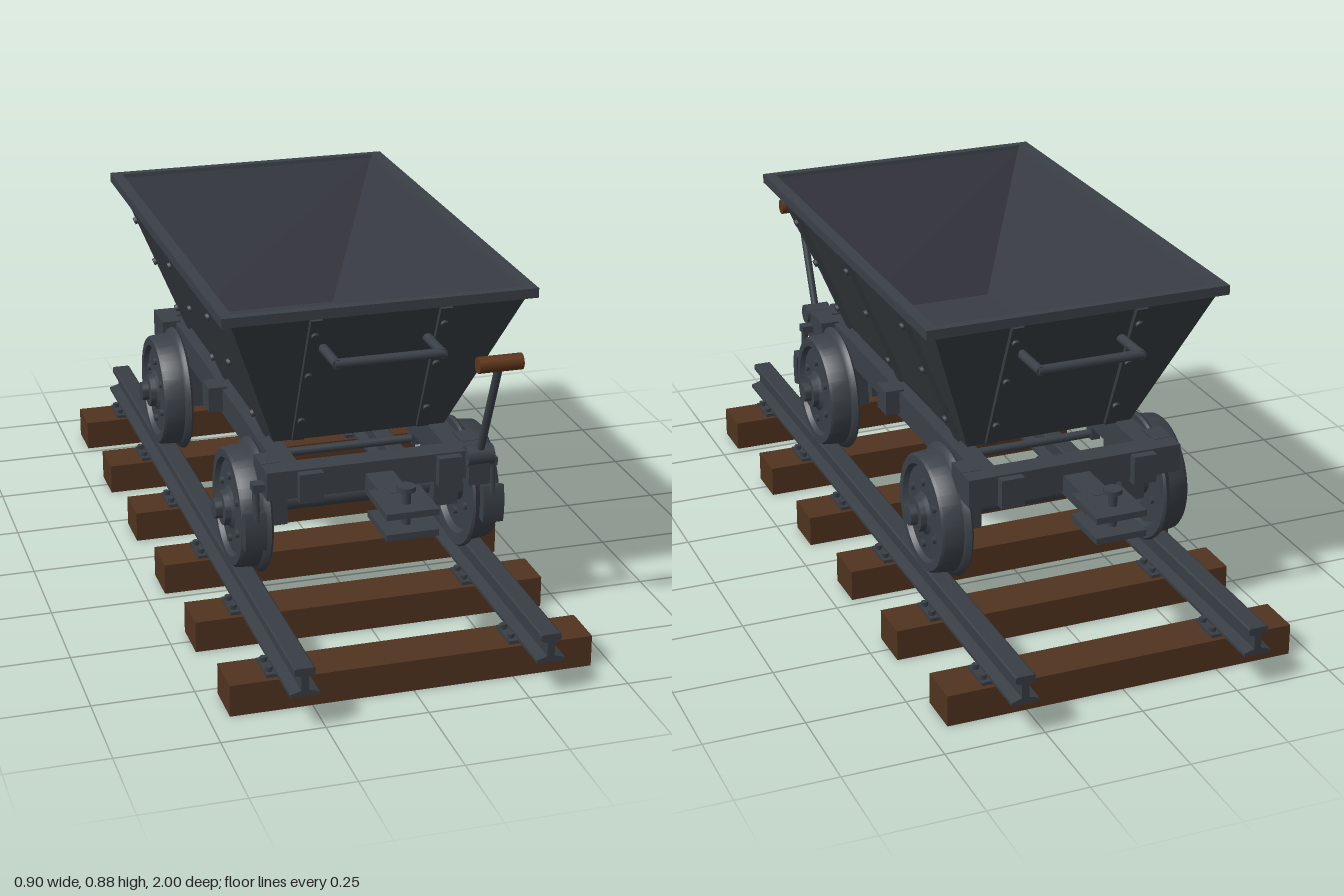
import * as THREE from 'three';
import { toCreasedNormals } from 'three/addons/utils/BufferGeometryUtils.js';

const mat = (name, color) => new THREE.MeshStandardMaterial({ name, color });
const ENDS = [1, -1];

export function createModel() {
  const root = new THREE.Group();
  root.name = 'mineCartOnTrack';
  const shellSteel = mat('hopper steel', 0x363c41);
  const innerSteel = mat('hopper inside', 0x3a3c45);
  const frameSteel = mat('frame steel', 0x3a4047);
  const railSteel = mat('rail steel', 0x383e44);
  const wood = mat('sleeper wood', 0x50331f);
  const gripWood = mat('grip wood', 0x5e3519);

  const add = (name, geo, m, x = 0, y = 0, z = 0, parent = root) => {
    const mesh = new THREE.Mesh(geo, m);
    mesh.name = name;
    mesh.position.set(x, y, z);
    parent.add(mesh);
    return mesh;
  };
  // box given by its centre and size
  const box = (name, m, x, y, z, w, h, d) => add(name, new THREE.BoxGeometry(w, h, d), m, x, y, z);
  // round bar between two points
  const rod = (name, m, a, b, r, sides = 16) => {
    const p = new THREE.Vector3(...a), q = new THREE.Vector3(...b), d = q.clone().sub(p);
    const mesh = add(name, new THREE.CylinderGeometry(r, r, d.length(), sides), m);
    mesh.position.copy(p).add(q).multiplyScalar(0.5);
    mesh.quaternion.setFromUnitVectors(new THREE.Vector3(0, 1, 0), d.normalize());
    return mesh;
  };
  // rectangular rings [halfX, halfZ, y] joined by flat faces
  const loft = (rings) => {
    const corners = [[1, 1], [1, -1], [-1, -1], [-1, 1]], pos = [];
    const pt = (r, i) => [corners[i % 4][0] * r[0], r[2], corners[i % 4][1] * r[1]];
    for (let k = 0; k + 1 < rings.length; k++) {
      for (let i = 0; i < 4; i++) {
        const a = pt(rings[k], i), b = pt(rings[k], i + 1);
        const c = pt(rings[k + 1], i + 1), d = pt(rings[k + 1], i);
        pos.push(...a, ...b, ...c, ...a, ...c, ...d);
      }
    }
    const g = new THREE.BufferGeometry();
    g.setAttribute('position', new THREE.Float32BufferAttribute(pos, 3));
    g.computeVertexNormals();
    return g;
  };

  // ---- Track: sleepers, rails, tie plates and bolts
  const railShape = new THREE.Shape();
  const half = [[0.035, 0.088], [0.035, 0.096], [0.009, 0.104], [0.009, 0.138], [0.025, 0.144], [0.025, 0.157], [0.021, 0.16]];
  half.forEach(([x, y], i) => (i ? railShape.lineTo(x, y) : railShape.moveTo(x, y)));
  [...half].reverse().forEach(([x, y]) => railShape.lineTo(-x, y));
  const railGeo = new THREE.ExtrudeGeometry(railShape, { depth: 2, bevelEnabled: false });
  for (const s of ENDS) add('rail', railGeo, railSteel, s * 0.3, 0, -1);
  for (let i = 0; i < 6; i++) {
    const z = 0.8325 - i * 0.333;
    box('sleeper', wood, 0, 0.04, z, 0.9, 0.08, 0.116);
    for (const s of ENDS) {
      box('tiePlate', railSteel, s * 0.3, 0.084, z, 0.115, 0.009, 0.09);
      for (const b of ENDS) for (const c of ENDS) {
        rod('tieBolt', railSteel, [s * 0.3 + b * 0.047, 0.086, z + c * 0.025], [s * 0.3 + b * 0.047, 0.1, z + c * 0.025], 0.009, 6);
      }
    }
  }

  // ---- Wheels, turned from one profile (radius, distance outward)
  const profile = [[0, -0.05], [0.05, -0.05], [0.05, -0.03], [0.125, -0.03], [0.135, -0.043], [0.164, -0.045],
    [0.169, -0.039], [0.166, -0.032], [0.155, -0.024], [0.15, 0.024], [0.145, 0.03], [0.125, 0.03], [0.118, 0.018],
    [0.055, 0.022], [0.045, 0.03], [0.043, 0.045], [0.026, 0.046], [0.025, 0.064], [0, 0.065]];
  const wheelGeo = toCreasedNormals(
    new THREE.LatheGeometry(profile.map(([r, t]) => new THREE.Vector2(r, t)), 36), 0.6);
  const boltGeo = new THREE.CylinderGeometry(0.01, 0.01, 0.012, 8);
  for (const s of ENDS) for (const e of ENDS) {
    const wheel = new THREE.Group();
    wheel.name = 'wheel';
    wheel.position.set(s * 0.3, 0.31, e * 0.41);
    wheel.rotation.z = -s * Math.PI / 2;
    root.add(wheel);
    add('wheelDisc', wheelGeo, frameSteel, 0, 0, 0, wheel);
    for (let i = 0; i < 6; i++) {
      const a = i * Math.PI / 3;
      for (const t of [0.023, -0.033]) add('wheelBolt', boltGeo, frameSteel, Math.cos(a) * 0.083, t, Math.sin(a) * 0.083, wheel);
    }
    // axle box carrying the axle under the frame
    box('axleBox', frameSteel, s * 0.222, 0.335, e * 0.41, 0.064, 0.13, 0.11);
    box('axleBoxCap', frameSteel, s * 0.222, 0.281, e * 0.41, 0.064, 0.024, 0.08);
  }
  for (const e of ENDS) rod('axle', frameSteel, [-0.27, 0.31, e * 0.41], [0.27, 0.31, e * 0.41], 0.025);

  // ---- Chassis
  for (const s of ENDS) {
    box('sideBeam', frameSteel, s * 0.215, 0.435, 0, 0.055, 0.07, 1.2);
    for (const z of [0.515, 0, -0.525]) box('sideBlock', frameSteel, s * 0.255, 0.442, z, 0.05, 0.066, 0.066);
  }
  box('crossBeam', frameSteel, 0, 0.437, 0, 0.44, 0.06, 0.07);
  for (const z of [0.24, -0.24]) rod('crossTie', frameSteel, [-0.215, 0.363, z], [0.215, 0.363, z], 0.011);
  for (const z of [0.24, -0.24]) for (const s of ENDS) {
    box('tieHanger', frameSteel, s * 0.215, 0.38, z, 0.025, 0.06, 0.03);
  }
  for (const s of ENDS) for (const e of ENDS) box('hopperSaddle', frameSteel, s * 0.18, 0.475, e * 0.3, 0.05, 0.025, 0.08);
  box('centreSaddle', frameSteel, 0, 0.476, 0, 0.3, 0.025, 0.07);

  // ---- Ends: buffer beam, blocks, coupler and pin
  for (const e of ENDS) {
    box('endBeam', frameSteel, 0, 0.438, e * 0.575, 0.56, 0.072, 0.06);
    for (const s of ENDS) box('bufferBlock', frameSteel, s * 0.175, 0.433, e * 0.613, 0.06, 0.074, 0.03);
    box('drawBar', frameSteel, 0, 0.42, e * 0.665, 0.07, 0.05, 0.14);
    box('couplerNeck', frameSteel, 0, 0.418, e * 0.73, 0.04, 0.07, 0.04);
    for (const y of [0.444, 0.392]) box('couplerPlate', frameSteel, 0, y, e * 0.79, 0.128, 0.016, 0.145);
    rod('couplerPin', frameSteel, [0, 0.37, e * 0.81], [0, 0.49, e * 0.81], 0.011, 12);
    rod('pinHead', frameSteel, [0, 0.485, e * 0.81], [0, 0.496, e * 0.81], 0.023, 12);
  }

  // ---- Brakes on the front wheels: curved shoe, hanger and hand lever
  const shoe = new THREE.Shape();
  shoe.absarc(0, 0, 0.182, -0.25, 0.3, false);
  shoe.absarc(0, 0, 0.152, 0.3, -0.25, true);
  const shoeGeo = new THREE.ExtrudeGeometry(shoe, { depth: 0.054, bevelEnabled: false, curveSegments: 8 });
  for (const s of ENDS) {
    const m = add('brakeShoe', shoeGeo, frameSteel, s * 0.303 + 0.027, 0.31, 0.41);
    m.rotation.y = -Math.PI / 2;
    rod('brakeHanger', frameSteel, [s * 0.3, 0.34, 0.582], [s * 0.3, 0.435, 0.572], 0.009, 8);
    box('hangerArm', frameSteel, s * 0.285, 0.43, 0.575, 0.05, 0.02, 0.03);
  }
  box('leverBracket', frameSteel, 0.25, 0.425, 0.605, 0.055, 0.07, 0.04);
  rod('leverPivot', frameSteel, [0.22, 0.46, 0.605], [0.288, 0.46, 0.605], 0.026);
  rod('brakeLever', frameSteel, [0.255, 0.46, 0.605], [0.255, 0.742, 0.725], 0.01, 12);
  rod('leverGrip', gripWood, [0.2, 0.742, 0.725], [0.31, 0.742, 0.725], 0.02);

  // ---- Hopper: outer shell, inner shell and rim
  add('hopperShell', loft([[0, 0, 0.485], [0.22, 0.445, 0.485], [0.366, 0.606, 0.86]]), shellSteel);
  add('hopperInside', loft([[0.355, 0.595, 0.87], [0.2, 0.445, 0.505], [0, 0, 0.505]]), innerSteel);
  add('hopperRim', loft([[0.353, 0.593, 0.856], [0.39, 0.62, 0.856], [0.39, 0.62, 0.88],
    [0.36, 0.597, 0.88], [0.353, 0.593, 0.856]]), frameSteel);

  // ---- Ribs, rivets and handles on the hopper walls
  const rib = (side, along, lower, upper) => {
    const g = new THREE.Group();
    g.name = 'hopperRib';
    const rise = 0.365, run = upper - lower, len = Math.hypot(rise, run);
    add('ribStrip', new THREE.BoxGeometry(0.03, len, 0.012), shellSteel, 0, 0, 0, g);
    for (const t of [-0.33, 0.05, 0.38]) {
      const bolt = add('ribRivet', boltGeo, shellSteel, 0, t * len, 0.008, g);
      bolt.rotation.x = Math.PI / 2;
    }
    const out = (lower + upper) / 2;
    g.rotation.order = 'YXZ';
    g.rotation.set(Math.atan2(run, rise), side, 0);
    g.position.set(Math.sin(side) * out + Math.cos(side) * along, 0.672, Math.cos(side) * out - Math.sin(side) * along);
    root.add(g);
  };
  for (const s of ENDS) {
    for (const a of [-0.4, 0, 0.4]) rib(s * Math.PI / 2, a, 0.226, 0.378);
    for (const a of [-0.16, 0.16]) rib(s > 0 ? 0 : Math.PI, a, 0.45, 0.614);
    rod('endHandle', frameSteel, [-0.135, 0.763, s * 0.675], [0.135, 0.763, s * 0.675], 0.012, 12);
    for (const b of ENDS) {
      rod('handleArm', frameSteel, [b * 0.13, 0.763, s * 0.56], [b * 0.13, 0.763, s * 0.682], 0.012, 12);
    }
  }
  return root;
}
